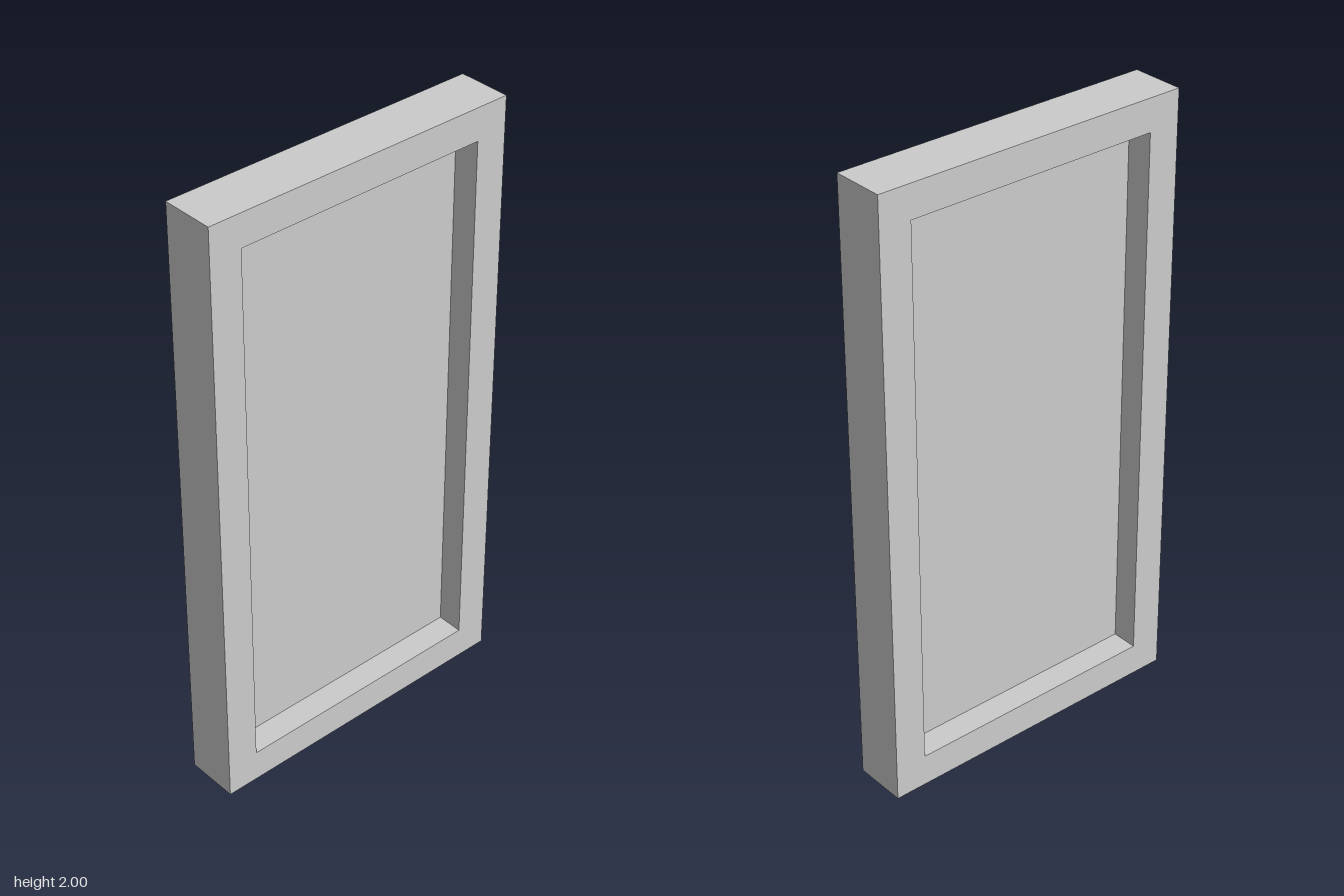
import * as THREE from 'three';

const W = 1.066, H = 2, D = 0.174, BORDER = 0.106;

export function createModel() {
  const group = new THREE.Group();
  const material = new THREE.MeshStandardMaterial({ color: 0xcccccc, flatShading: true, side: THREE.DoubleSide });
  const add = (name, geometry, [x, y, z], [rx, ry] = [0, 0]) => {
    const mesh = new THREE.Mesh(geometry, material);
    mesh.name = name;
    mesh.position.set(x, y, z);
    mesh.rotation.set(rx, ry, 0);
    group.add(mesh);
  };
  const rectangle = (path, w, h) => path.setFromPoints(
    [[-1, -1], [1, -1], [1, 1], [-1, 1]].map(([x, y]) => new THREE.Vector2(x * w / 2, y * h / 2)));

  const innerW = W - 2 * BORDER, innerH = H - 2 * BORDER, mid = H / 2;

  // Front and back faces with the rectangular opening
  const face = rectangle(new THREE.Shape(), W, H);
  face.holes.push(rectangle(new THREE.Path(), innerW, innerH));
  const faceGeometry = new THREE.ShapeGeometry(face);
  add('frontFace', faceGeometry, [0, mid, D / 2]);
  add('backFace', faceGeometry, [0, mid, -D / 2], [0, Math.PI]);

  // Outer sides and top; the hollow frame is open underneath
  add('outerTop', new THREE.PlaneGeometry(W, D), [0, H, 0], [-Math.PI / 2, 0]);
  for (const s of [1, -1]) {
    const side = s > 0 ? 'left' : 'right';
    add(side + 'OuterSide', new THREE.PlaneGeometry(D, H), [s * W / 2, mid, 0], [0, s * Math.PI / 2]);
    // Reveals lining the opening
    add(side + 'Reveal', new THREE.PlaneGeometry(D, innerH), [s * innerW / 2, mid, 0], [0, -s * Math.PI / 2]);
    add(s > 0 ? 'topReveal' : 'sill', new THREE.PlaneGeometry(innerW, D),
      [0, mid + s * innerH / 2, 0], [s * Math.PI / 2, 0]);
  }

  // Thin panel halfway through the opening
  add('panel', new THREE.PlaneGeometry(innerW, innerH), [0, mid, 0]);
  return group;
}
